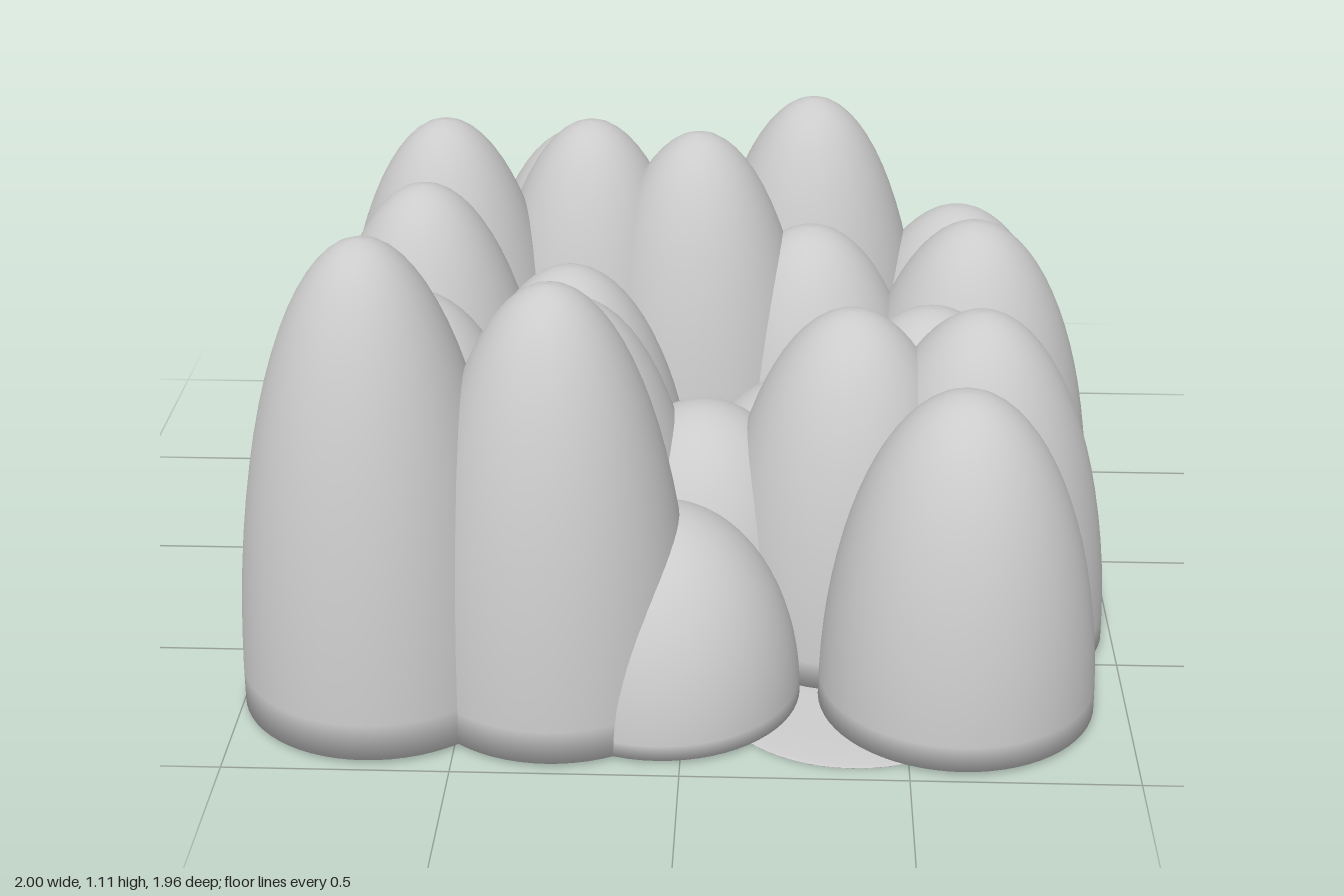
import * as THREE from 'three';

// Mounds as [x, z, top height], back row first
const MOUNDS = [
  [-0.64, -0.57, 0.65], [-0.33, -0.67, 0.89], [-0.05, -0.61, 0.23], [0.285, -0.63, 1.0], [0.665, -0.59, 0.72],
  [-0.62, -0.24, 1.065], [-0.27, -0.345, 1.03], [0.0, -0.29, 1.02], [0.28, -0.28, 0.78], [0.685, -0.26, 0.805],
  [-0.645, 0.0, 0.985], [-0.3, 0.03, 0.79], [0.02, 0.03, 0.43], [0.25, 0.04, 0.5], [0.57, 0.045, 0.7],
  [-0.635, 0.3, 0.83], [-0.27, 0.345, 0.84], [0.03, 0.32, 0.57], [0.37, 0.34, 0.82], [0.665, 0.34, 0.82],
  [-0.69, 0.665, 1.11], [-0.29, 0.665, 1.01], [-0.05, 0.645, 0.465], [0.375, 0.645, 0.01], [0.615, 0.665, 0.77],
];
const RADIUS = 0.312;
const BASE = 0.01;

export function createModel() {
  const group = new THREE.Group();
  group.name = 'moundCluster';
  const material = new THREE.MeshStandardMaterial({ color: 0xcccccc });

  // Unit half-ellipsoid with a flat underside, softened at the rim
  const profile = [new THREE.Vector2(0, 0)];
  const steps = 20;
  for (let i = 0; i <= steps; i++) {
    const a = (i / steps) * Math.PI / 2;
    profile.push(new THREE.Vector2(i === steps ? 0 : Math.cos(a), Math.sin(a)));
  }
  const dome = new THREE.LatheGeometry(profile, 64);

  MOUNDS.forEach(([x, z, top], i) => {
    // The lowest mound is only a thin disc resting on the ground
    const base = top > BASE ? BASE : 0;
    const mound = new THREE.Mesh(dome, material);
    mound.name = top > BASE ? `mound${i + 1}` : 'flatDisc';
    mound.scale.set(RADIUS, top - base, RADIUS);
    mound.position.set(x, base, z);
    group.add(mound);
  });
  return group;
}
